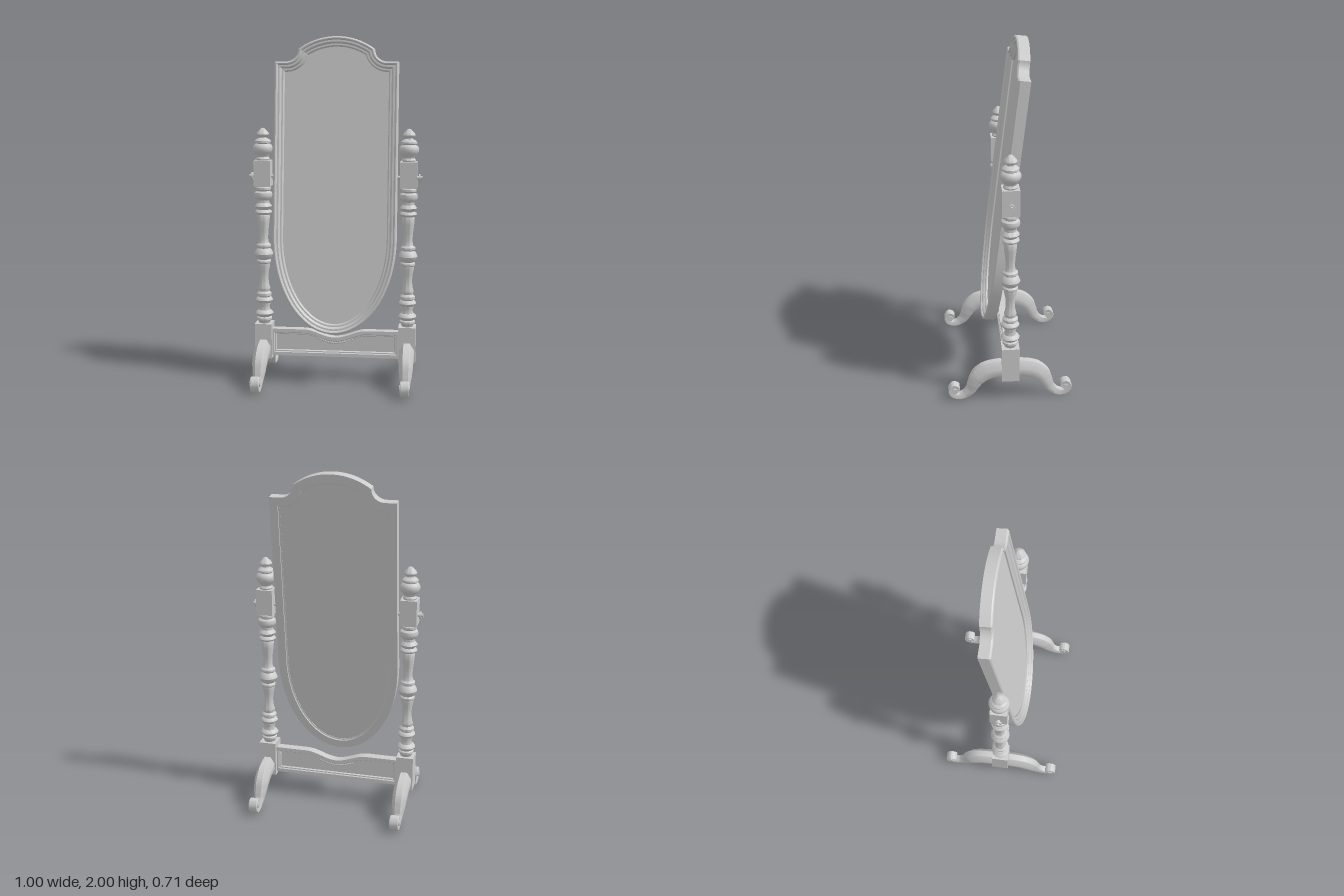
import * as THREE from 'three';
import { toCreasedNormals } from 'three/addons/utils/BufferGeometryUtils.js';

const material = new THREE.MeshStandardMaterial({ color: 0xcccccc });

function part(name, geometry, x = 0, y = 0, z = 0) {
  const mesh = new THREE.Mesh(geometry, material);
  mesh.name = name;
  mesh.position.set(x, y, z);
  return mesh;
}

// Skins a list of equal closed rings of [x, y, z]; either caps the ends or joins last to first
function skin(rings, joined, crease = 0.6) {
  const n = rings[0].length, m = rings.length, index = [];
  for (let i = 0; i < (joined ? m : m - 1); i++) {
    for (let j = 0; j < n; j++) {
      const k = (j + 1) % n, r = ((i + 1) % m) * n;
      index.push(i * n + j, i * n + k, r + k, i * n + j, r + k, r + j);
    }
  }
  if (!joined) {
    const e = (m - 1) * n;
    for (let j = 1; j < n - 1; j++) index.push(0, j + 1, j, e, e + j, e + j + 1);
  }
  const g = new THREE.BufferGeometry();
  g.setAttribute('position', new THREE.Float32BufferAttribute(rings.flat(2), 3));
  g.setIndex(index);
  return toCreasedNormals(g, crease);
}

// Moves a counter-clockwise outline inwards by d with mitred corners
function inset(outline, d) {
  const n = outline.length;
  return outline.map((p, i) => {
    const a = p.clone().sub(outline[(i + n - 1) % n]).normalize();
    const b = outline[(i + 1) % n].clone().sub(p).normalize();
    const na = new THREE.Vector2(-a.y, a.x), nb = new THREE.Vector2(-b.y, b.x);
    const s = na.clone().add(nb);
    return p.clone().addScaledVector(s, d / (1 + na.dot(nb)));
  });
}

// Runs a moulding profile of [inset, z] around an outline
const moulding = (outline, profile) =>
  skin(profile.map(([d, z]) => inset(outline, d).map(p => [p.x, p.y, z])), true, 0.5);

function slab(outline, z0, z1) {
  const g = new THREE.ExtrudeGeometry(new THREE.Shape(outline), { depth: z1 - z0, bevelEnabled: false });
  return g.translate(0, 0, z0);
}

// Completes a right half (bottom to top, ends on x = 0) with its mirror image
function mirrored(half) {
  const left = half.slice(1, -1).reverse().map(p => new THREE.Vector2(-p.x, p.y));
  return [...half, ...left];
}

function createMirror() {
  const group = new THREE.Group();
  group.name = 'tiltingMirror';
  const half = [], V = (x, y) => half.push(new THREE.Vector2(x, y));
  // rounded bottom
  for (let i = 0; i <= 28; i++) {
    const a = i / 28 * Math.PI / 2;
    V(0.356 * Math.sin(a), -0.35 - 0.555 * Math.cos(a));
  }
  V(0.356, 0.656);
  // hollow shoulder
  for (let i = 0; i <= 10; i++) {
    const a = i / 10 * Math.PI / 2;
    V(0.29 - 0.072 * Math.sin(a), 0.728 - 0.072 * Math.cos(a));
  }
  // arched top
  const R = 0.366, start = Math.asin(0.218 / R);
  for (let i = 1; i <= 12; i++) {
    const a = start * (1 - i / 12);
    V(R * Math.sin(a), 0.8 - R + R * Math.cos(a));
  }
  half[half.length - 1].x = 0;
  const outline = mirrored(half);
  group.add(part('mirrorFrame', moulding(outline, [
    [0, -0.033], [0, 0.024], [0.004, 0.031], [0.01, 0.034], [0.016, 0.031], [0.02, 0.023],
    [0.03, 0.023], [0.036, 0.018], [0.04, 0.01], [0.049, 0.01], [0.056, 0.003],
    [0.056, -0.022], [0.047, -0.024], [0.047, -0.033],
  ])));
  group.add(part('mirrorGlass', slab(inset(outline, 0.052), -0.021, -0.006)));
  group.position.y = 1.2;
  group.rotation.x = -0.12;
  return group;
}

function createRail() {
  const group = new THREE.Group();
  group.name = 'lowerRail';
  const top = x => Math.abs(x) > 0.185 ? 0.3 : 0.278 - 0.022 * Math.cos(x / 0.185 * Math.PI);
  const half = [[0, 0.14], [0.38, 0.14], [0.38, 0.3]].map(p => new THREE.Vector2(...p));
  for (let i = 0; i <= 14; i++) half.push(new THREE.Vector2(0.185 * (1 - i / 14), top(0.185 * (1 - i / 14))));
  const outline = mirrored(half);
  group.add(part('railMoulding', moulding(outline, [
    [0, -0.025], [0, 0.025], [0.02, 0.025], [0.024, 0.019], [0.03, 0.019], [0.035, 0.008],
    [0.035, -0.008], [0.03, -0.019], [0.024, -0.019], [0.02, -0.025],
  ])));
  group.add(part('railPanel', slab(inset(outline, 0.032), -0.01, 0.01)));
  // carved beads under the dip, both faces
  for (const z of [-0.014, 0.014]) {
    for (let i = -7; i <= 7; i++) {
      const x = i * 0.014;
      group.add(part('railBead', new THREE.SphereGeometry(0.008, 8, 6), x, top(x) - 0.033, z));
    }
  }
  return group;
}

// Turned section from [radius, y] points
function turned(points) {
  const g = new THREE.LatheGeometry(points.map(p => new THREE.Vector2(...p)), 28);
  return toCreasedNormals(g, 0.7);
}

function createLeg() {
  const group = new THREE.Group();
  group.name = 'scrollLeg';
  // z, y, half thickness, half width, share of the width that is flat on top
  const keys = [
    [0, 0.195, 0.045, 0.043, 0.42], [0.08, 0.193, 0.045, 0.043, 0.42], [0.14, 0.177, 0.046, 0.042, 0.42],
    [0.185, 0.142, 0.042, 0.041, 0.43], [0.211, 0.095, 0.033, 0.036, 0.45], [0.23, 0.055, 0.026, 0.028, 0.55],
    [0.26, 0.026, 0.02, 0.023, 0.7], [0.295, 0.015, 0.015, 0.023, 0.85], [0.33, 0.028, 0.013, 0.025, 0.9],
    [0.342, 0.06, 0.013, 0.026, 0.9], [0.324, 0.086, 0.012, 0.026, 0.9], [0.3, 0.078, 0.01, 0.026, 0.9],
    [0.299, 0.056, 0.008, 0.026, 0.9],
  ];
  const path = new THREE.CatmullRomCurve3(keys.map(k => new THREE.Vector3(0, k[1], k[0])));
  const rings = [], steps = 60;
  for (let i = 0; i <= steps; i++) {
    const u = i / steps, p = path.getPoint(u), t = path.getTangent(u);
    const f = u * (keys.length - 1), k = Math.min(Math.floor(f), keys.length - 2);
    const [h, w, flat] = [2, 3, 4].map(c => THREE.MathUtils.lerp(keys[k][c], keys[k + 1][c], f - k));
    const section = [[0.85 * w, -h], [w, -0.75 * h], [w, 0.1 * h], [flat * w, h]];
    const ring = [...section, ...section.slice().reverse().map(([x, n]) => [-x, n])];
    rings.push(ring.map(([x, n]) => [x, p.y + n * t.z, p.z - n * t.y]));
  }
  group.add(part('legBody', skin(rings, false)));
  const eye = new THREE.CylinderGeometry(0.018, 0.018, 0.06, 20).rotateZ(Math.PI / 2);
  group.add(part('scrollEye', eye, 0, 0.058, 0.318));
  return group;
}

function createSide(s) {
  const group = new THREE.Group();
  group.name = s > 0 ? 'leftStand' : 'rightStand';
  group.position.x = 0.42 * s;
  group.add(part('lowerBlock', new THREE.BoxGeometry(0.1, 0.207, 0.1), 0, 0.2285, 0));
  group.add(part('upperBlock', new THREE.BoxGeometry(0.096, 0.15, 0.096), 0, 1.217, 0));
  group.add(part('turnedPost', turned([
    [0.032, 0.33], [0.036, 0.345], [0.044, 0.352], [0.044, 0.364], [0.036, 0.37], [0.046, 0.38], [0.053, 0.39],
    [0.046, 0.402], [0.034, 0.41], [0.03, 0.43], [0.036, 0.446], [0.036, 0.452], [0.047, 0.46], [0.051, 0.47],
    [0.045, 0.482], [0.034, 0.488], [0.043, 0.496], [0.043, 0.51], [0.03, 0.522], [0.035, 0.535], [0.035, 0.542],
    [0.029, 0.56], [0.025, 0.6], [0.028, 0.64], [0.036, 0.675], [0.036, 0.688], [0.042, 0.694], [0.042, 0.704],
    [0.034, 0.712], [0.047, 0.724], [0.055, 0.745], [0.047, 0.766], [0.034, 0.778], [0.042, 0.786], [0.042, 0.798],
    [0.03, 0.808], [0.025, 0.835], [0.028, 0.88], [0.034, 0.93], [0.037, 0.965], [0.033, 0.975], [0.046, 0.982],
    [0.05, 0.99], [0.046, 0.998], [0.034, 1.005], [0.042, 1.014], [0.05, 1.025], [0.042, 1.036], [0.034, 1.045],
    [0.034, 1.06], [0.05, 1.075], [0.053, 1.09], [0.05, 1.105], [0.036, 1.114], [0.044, 1.122], [0.044, 1.134],
    [0.034, 1.145],
  ])));
  group.add(part('finial', turned([
    [0.036, 1.288], [0.04, 1.3], [0.033, 1.312], [0.038, 1.325], [0.048, 1.335], [0.056, 1.35], [0.057, 1.367],
    [0.05, 1.38], [0.038, 1.388], [0.046, 1.394], [0.046, 1.404], [0.036, 1.413], [0.022, 1.42], [0.022, 1.426],
    [0.034, 1.434], [0.037, 1.442], [0.03, 1.456], [0.018, 1.466], [0.012, 1.474], [0, 1.478],
  ])));
  // pivot rod and its thumb knob
  const rod = (r, from, to) =>
    new THREE.CylinderGeometry(r, r, to - from, 20).rotateZ(Math.PI / 2).translate(s * (from + to) / 2, 1.2, 0);
  group.add(part('pivotRod', rod(0.01, -0.08, 0.078)));
  group.add(part('pivotKnob', rod(0.021, 0.058, 0.067)));
  for (const turn of [0, Math.PI]) {
    const leg = createLeg();
    leg.rotation.y = turn;
    group.add(leg);
  }
  return group;
}

export function createModel() {
  const model = new THREE.Group();
  model.name = 'chevalMirror';
  model.add(createMirror(), createRail(), createSide(1), createSide(-1));
  return model;
}
